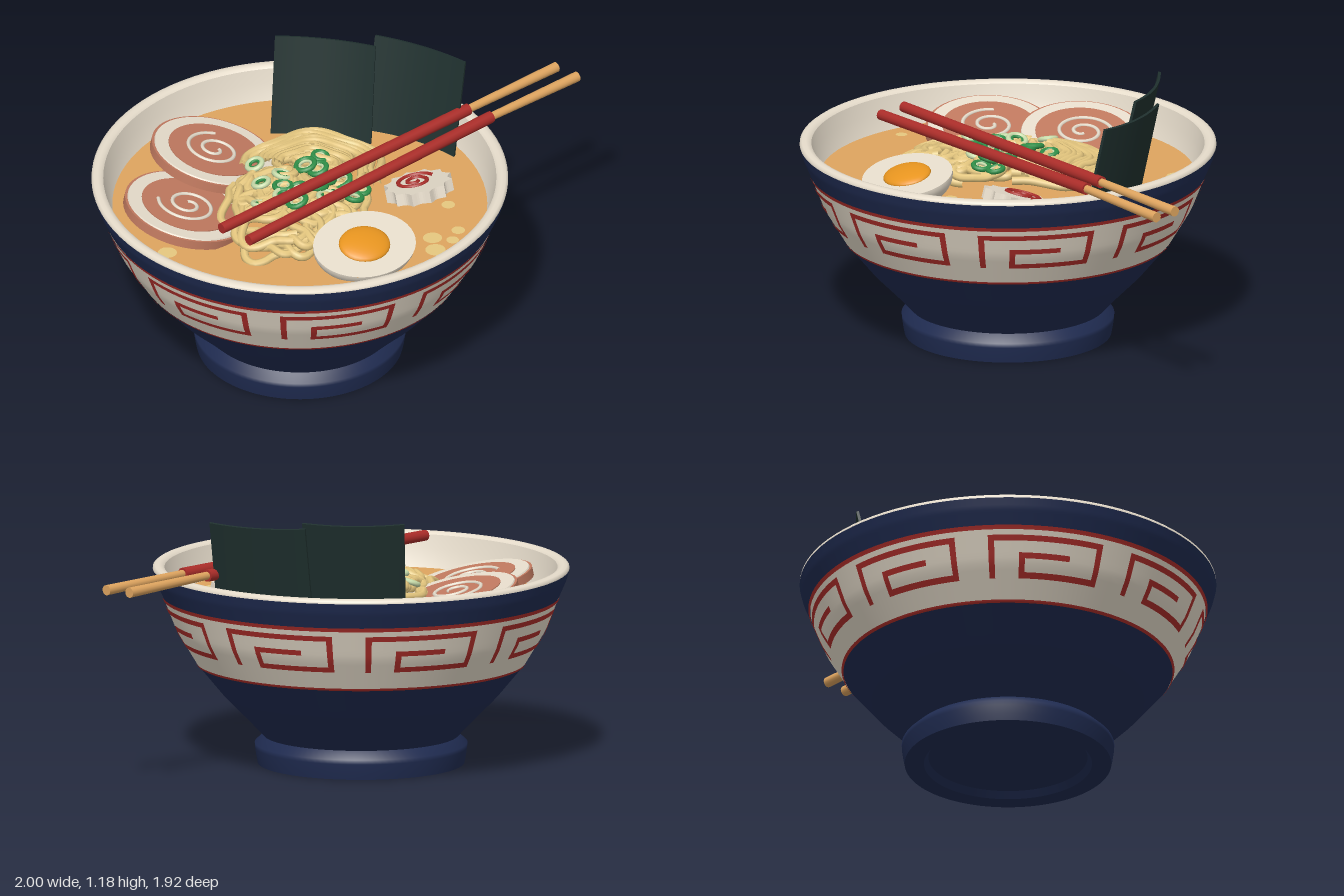
import * as THREE from 'three';
import { mergeGeometries } from 'three/addons/utils/BufferGeometryUtils.js';

const mat = (name, color) => {
  const m = new THREE.MeshStandardMaterial({ color });
  m.name = name;
  return m;
};
const V = (x, y, z) => new THREE.Vector3(x, y, z);

// Outer bowl wall as radius, height
const WALL = [[0.43, 0.125], [0.5, 0.2], [0.6, 0.3], [0.725, 0.45], [0.815, 0.6], [0.87, 0.74], [0.905, 0.82], [0.917, 0.866]];
function wallRadius(y) {
  for (let i = 1; i < WALL.length; i++) {
    const [r0, y0] = WALL[i - 1], [r1, y1] = WALL[i];
    if (y <= y1) return r0 + (r1 - r0) * (y - y0) / (y1 - y0);
  }
  return 0.917;
}

export function createModel() {
  const navy = mat('navy glaze', 0x1f2b50);
  const cream = mat('cream', 0xe6dccb);
  const red = mat('red lacquer', 0xab2d29);
  const amber = mat('amber broth and wood', 0xdea45f);
  const noodle = mat('noodle yellow', 0xe5c77f);
  const meat = mat('pork brown', 0xc0795f);
  const nori = mat('seaweed', 0x1f302e);
  const green = mat('scallion green', 0x2f8f48);
  const pale = mat('pale green', 0xc8dcaa);
  const yolk = mat('yolk orange', 0xe8951f);

  const model = new THREE.Group();
  model.name = 'noodleBowl';
  const add = (parent, name, geo, material, pos = [0, 0, 0], rot = [0, 0, 0]) => {
    const m = new THREE.Mesh(geo, material);
    m.name = name;
    m.position.set(...pos);
    m.rotation.set(...rot);
    parent.add(m);
    return m;
  };
  // Groups spin about y first, then lean
  const group = (name, pos, rot = [0, 0, 0]) => {
    const g = new THREE.Group();
    g.name = name;
    g.position.set(...pos);
    g.rotation.set(...rot, 'XZY');
    model.add(g);
    return g;
  };
  let seed = 11;
  const rand = (a, b) => {
    seed = (seed * 16807) % 2147483647;
    return a + (b - a) * seed / 2147483647;
  };

  // Bowl
  const bowl = group('bowl', [-0.084, 0, 0.041]);
  const lathe = (pts) => new THREE.LatheGeometry(pts.map(p => new THREE.Vector2(...p)), 96);
  const wall = (y0, y1, off = 0) => lathe(Array.from({ length: 13 }, (_, i) => {
    const y = y0 + (y1 - y0) * i / 12;
    return [wallRadius(y) + off, y];
  }));
  add(bowl, 'footBase', lathe([[0, 0.03], [0.35, 0.03]]), navy);
  add(bowl, 'footInnerWall', lathe([[0.35, 0.03], [0.37, 0]]), navy);
  add(bowl, 'footUnderside', lathe([[0.37, 0], [0.455, 0]]), navy);
  add(bowl, 'foot', lathe([[0.455, 0], [0.461, 0.03], [0.467, 0.07], [0.468, 0.09], [0.43, 0.125]]), navy);
  add(bowl, 'lowerWall', wall(0.125, 0.45), navy);
  add(bowl, 'patternBand', wall(0.45, 0.74), cream);
  add(bowl, 'upperWall', wall(0.74, 0.866), navy);
  add(bowl, 'lowerTrim', wall(0.444, 0.456, 0.004), red);
  add(bowl, 'upperTrim', wall(0.733, 0.751, 0.004), red);
  add(bowl, 'rim', lathe([[0.917, 0.866], [0.916, 0.876], [0.907, 0.883], [0.89, 0.886], [0.875, 0.883], [0.865, 0.873]]), cream);
  add(bowl, 'innerWall', lathe([[0.865, 0.873], [0.85, 0.81], [0.825, 0.73], [0.8, 0.69]]), cream);
  add(bowl, 'broth', new THREE.CircleGeometry(0.826, 96), amber, [0, 0.73, 0], [-Math.PI / 2, 0, 0]);

  // Squared spiral motifs wrapped round the band
  const KEY = [[0, 0], [0, 1], [1, 1], [1, 0], [0.28, 0], [0.28, 0.52], [0.7, 0.52]];
  const strokes = [];
  for (let k = 0; k < 8; k++) {
    const start = k * Math.PI / 4 + 0.1;
    for (let i = 1; i < KEY.length; i++) {
      const [u0, v0] = KEY[i - 1], [u1, v1] = KEY[i];
      const w = Math.abs(u1 - u0) * 0.58 + 0.032, h = Math.abs(v1 - v0) * 0.15 + 0.024;
      const g = new THREE.PlaneGeometry(w, h, Math.ceil(w / 0.03), Math.ceil(h / 0.02));
      g.translate(start + (u0 + u1) * 0.29, 0.548 + (v0 + v1) * 0.075, 0);
      const p = g.attributes.position;
      for (let j = 0; j < p.count; j++) {
        const a = p.getX(j), y = p.getY(j), r = wallRadius(y) + 0.005;
        p.setXYZ(j, Math.sin(a) * r, y, Math.cos(a) * r);
      }
      g.computeVertexNormals();
      strokes.push(g);
    }
  }
  add(bowl, 'spiralPattern', mergeGeometries(strokes), red);

  // Oil drops on the broth
  for (const [x, z, r] of [[-0.22, -0.69, 0.045], [0.12, -0.67, 0.035], [0.54, 0.2, 0.042], [0.63, 0.2, 0.028], [0.64, 0.12, 0.03],
    [0.57, 0.29, 0.045], [-0.585, 0.53, 0.042], [-0.52, 0.63, 0.026], [0.56, -0.07, 0.03], [0.33, 0.2, 0.028]])
    add(model, 'oilDrop', new THREE.CircleGeometry(r, 20), noodle, [x, 0.733, z], [-Math.PI / 2, 0, 0]);

  // Noodles: wavy loops lying over a low oval mound
  const mound = (x, z) => 0.735 + 0.1 * Math.max(0, 1 - ((x + 0.06) / 0.42) ** 2 - ((z - 0.04) / 0.58) ** 2);
  const strands = [];
  const strand = (pts) => strands.push(new THREE.TubeGeometry(new THREE.CatmullRomCurve3(pts), 40, 0.019, 7));
  for (let i = 0; i < 54; i++) {
    const t = rand(0, 6.28), d = Math.sqrt(rand(0, 1)), cx = -0.06 + Math.cos(t) * d * 0.2, cz = 0.1 + Math.sin(t) * d * 0.31;
    const r = rand(0.07, 0.17), a0 = rand(0, 6.28), sweep = rand(2, 4.5), ph = rand(0, 6.28), lift = rand(-0.015, 0.02);
    const pts = [];
    for (let j = 0; j <= 14; j++) {
      const a = a0 + sweep * j / 14, q = r * (1 + 0.16 * Math.sin(a * 4 + ph));
      const x = cx + Math.cos(a) * q, z = cz + Math.sin(a) * q * 1.1;
      pts.push(V(x, mound(x, z) + lift + 0.008 * Math.sin(a * 3 + ph), z));
    }
    strand(pts);
  }
  // Combed strands sweeping over the back of the mound
  for (let i = 0; i < 13; i++) {
    const pts = [], ph = rand(0, 1.2), wave = rand(0.04, 0.09), drift = rand(-0.03, 0.03);
    for (let j = 0; j <= 14; j++) {
      const a = Math.PI * 1.02 + (2.9 + ph * 0.6) * j / 14, q = 1 + wave * Math.sin(j * 1.3 + ph);
      const x = -0.07 + drift + Math.cos(a) * (0.1 + i * 0.017) * q, z = -0.1 + Math.sin(a) * (0.06 + i * 0.023) * q;
      pts.push(V(x, mound(x, z) + 0.02 + drift * 0.3, z));
    }
    strand(pts);
  }
  add(model, 'noodles', mergeGeometries(strands), noodle);

  // Flat spiral used on the pork and the fish cake
  const spiral = (r, turns, thick) => new THREE.TubeGeometry(new THREE.CatmullRomCurve3(
    Array.from({ length: 33 }, (_, i) => {
      const a = turns * 2 * Math.PI * i / 32, q = r * (0.15 + 0.85 * i / 32);
      return V(Math.cos(a) * q, 0, Math.sin(a) * q);
    })), 90, thick, 6);

  // Pork slices leaning on the bowl wall
  for (const [pos, rot] of [[[-0.515, 0.782, -0.19], [-0.09, 0.5, -0.21]], [[-0.553, 0.77, 0.24], [-0.07, 2, -0.2]]]) {
    const slice = group('porkSlice', pos, rot);
    add(slice, 'rind', new THREE.CylinderGeometry(0.282, 0.282, 0.04, 48), meat);
    add(slice, 'fat', new THREE.CylinderGeometry(0.268, 0.272, 0.008, 48), cream, [0, 0.022, 0]);
    add(slice, 'meat', new THREE.CylinderGeometry(0.208, 0.208, 0.008, 48), meat, [0, 0.026, 0]);
    add(slice, 'fatSpiral', spiral(0.135, 1.8, 0.009), cream, [0, 0.03, 0]);
  }

  // Halved egg, tipped to the front
  const egg = group('egg', [0.275, 0.805, 0.41], [0.19, 0.72, -0.17]);
  add(egg, 'eggWhite', new THREE.SphereGeometry(1, 32, 12, 0, Math.PI * 2, Math.PI / 2, Math.PI / 2), cream).scale.set(0.24, 0.13, 0.192);
  add(egg, 'eggFace', new THREE.CircleGeometry(1, 40), cream, [0, 0, 0], [-Math.PI / 2, 0, 0]).scale.set(0.24, 0.192, 1);
  add(egg, 'yolk', new THREE.SphereGeometry(1, 28, 16), yolk).scale.set(0.118, 0.03, 0.104);

  // Scalloped fish cake, tipped to the back left
  const cake = group('fishCake', [0.425, 0.745, -0.115], [-0.2, 0, 0.22]);
  const edge = Array.from({ length: 96 }, (_, i) => {
    const a = i / 96 * Math.PI * 2, r = 0.155 - 0.022 * Math.abs(Math.sin(a * 6));
    return new THREE.Vector2(Math.cos(a) * r, Math.sin(a) * r);
  });
  add(cake, 'cake', new THREE.ExtrudeGeometry(new THREE.Shape(edge), { depth: 0.055, bevelEnabled: false }), cream, [0, 0, 0], [-Math.PI / 2, 0, 0]);
  add(cake, 'cakeSpiral', spiral(0.092, 1.9, 0.01), red, [-0.015, 0.056, -0.01]);

  // Scallion rings
  const spots = [[-0.31, -0.085], [-0.03, -0.16], [-0.02, -0.05], [-0.165, 0.02], [-0.145, 0.11], [-0.08, -0.07], [-0.22, 0.24],
    [0.03, 0.03], [0, 0.085], [0.06, 0.145], [0.11, 0.08], [0.19, 0.03], [-0.25, 0.08], [-0.075, 0.13], [-0.065, 0.21], [-0.13, 0.18],
    [0.1, 0], [0.17, 0.1]];
  spots.forEach(([x, z], i) => {
    const ring = group('scallionRing', [x, Math.max(mound(x, z), 0.77) + 0.034, z], [rand(-0.35, 0.35), 0, rand(-0.35, 0.35)]);
    const r = rand(0.032, 0.043), light = i % 3 === 0;
    const flat = [Math.PI / 2, 0, 0];
    add(ring, 'ringOuter', new THREE.TorusGeometry(r, 0.012, 8, 20), light ? pale : green, [0, 0, 0], flat);
    add(ring, 'ringInner', new THREE.TorusGeometry(r * 0.62, 0.007, 6, 18), light ? green : pale, [0, 0, 0], flat);
  });

  // Curved seaweed sheets leaning back
  const sheet = new THREE.BoxGeometry(0.45, 0.47, 0.012, 16, 1, 1);
  const sp = sheet.attributes.position;
  for (let i = 0; i < sp.count; i++) sp.setZ(i, sp.getZ(i) + 0.03 * (sp.getX(i) / 0.225) ** 2);
  sheet.computeVertexNormals();
  for (const [x, y, z, turn] of [[-0.088, 0.94, -0.565, 0], [0.325, 0.932, -0.597, -0.31]])
    add(group('seaweed', [x, y, z], [0, turn, 0]), 'seaweedSheet', sheet, nori, [0, 0, 0], [-0.23, 0, 0]);

  // Chopsticks resting on the rim
  const rod = (parent, name, a, b, ra, rb, material) => {
    const dir = b.clone().sub(a);
    const m = add(parent, name, new THREE.CylinderGeometry(rb, ra, dir.length(), 14), material, a.clone().add(b).multiplyScalar(0.5).toArray());
    m.quaternion.setFromUnitVectors(V(0, 1, 0), dir.normalize());
  };
  for (const [a, b, c] of [[[-0.335, 0.575], [0.56, -0.54], [0.878, -0.95]], [[-0.2, 0.645], [0.67, -0.5], [0.982, -0.893]]]) {
    const stick = group('chopstick', [0, 0, 0]);
    const tip = V(a[0], 0.921, a[1]), joint = V(b[0], 0.928, b[1]), end = V(c[0], 0.921, c[1]);
    rod(stick, 'lacqueredShaft', tip, joint, 0.024, 0.027, red);
    rod(stick, 'woodenEnd', joint, end, 0.018, 0.023, amber);
  }
  return model;
}
